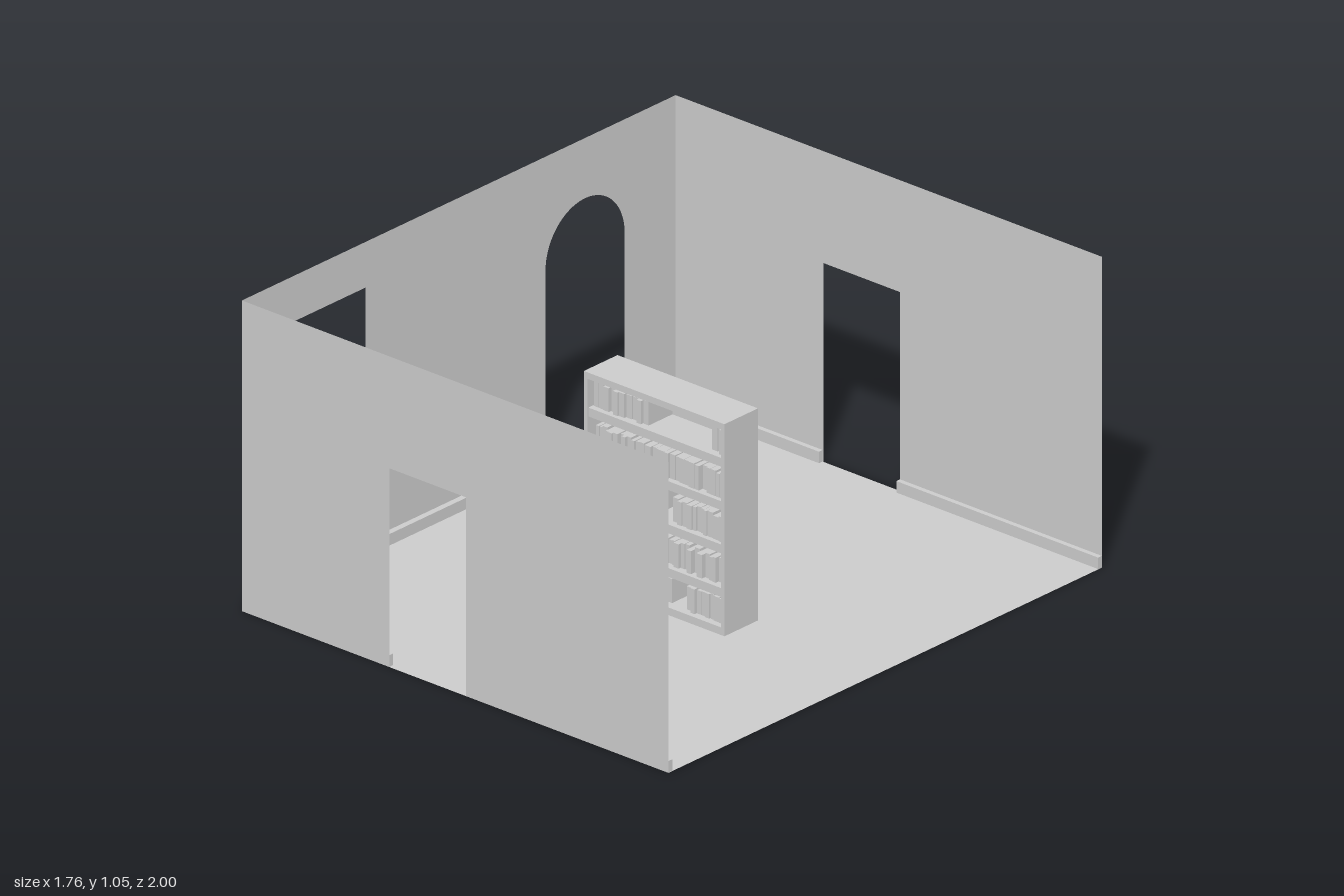
import * as THREE from 'three';

const X = 0.88, Z = 1, H = 1.055;
const grey = new THREE.MeshStandardMaterial({ color: 0xcccccc });
const thin = new THREE.MeshStandardMaterial({ color: 0xcccccc, side: THREE.DoubleSide });

// box given by its minimum and maximum corners
function box(parent, name, x0, x1, y0, y1, z0, z1) {
  const m = new THREE.Mesh(new THREE.BoxGeometry(x1 - x0, y1 - y0, z1 - z0), grey);
  m.position.set((x0 + x1) / 2, (y0 + y1) / 2, (z0 + z1) / 2);
  m.name = name;
  parent.add(m);
  return m;
}

function polygon(Type, pts) {
  return new Type(pts.map(([x, y]) => new THREE.Vector2(x, y)));
}

// front and back walls share the same doorway
function doorWall(name, z) {
  const s = polygon(THREE.Shape, [[-X, 0], [-0.27, 0], [-0.27, 0.675], [0.045, 0.675],
    [0.045, 0], [X, 0], [X, H], [-X, H]]);
  const m = new THREE.Mesh(new THREE.ShapeGeometry(s), thin);
  m.position.z = z;
  m.name = name;
  return m;
}

// side wall with an arched opening and a window; the shape's x runs along -z
function sideWall() {
  const s = new THREE.Shape();
  s.moveTo(-Z, 0);
  s.lineTo(0.4, 0);
  s.lineTo(0.4, 0.668);
  s.absarc(0.5825, 0.668, 0.1825, Math.PI, 0, true);
  s.lineTo(0.765, 0);
  s.lineTo(Z, 0);
  s.lineTo(Z, H);
  s.lineTo(-Z, H);
  s.closePath();
  s.holes.push(polygon(THREE.Path, [[-0.9, 0.535], [-0.9, 0.9], [-0.43, 0.9], [-0.43, 0.535]]));
  const m = new THREE.Mesh(new THREE.ShapeGeometry(s, 24), thin);
  m.rotation.y = Math.PI / 2;
  m.position.x = -X;
  m.name = 'archedSideWall';
  return m;
}

function bookcase() {
  const g = new THREE.Group();
  g.name = 'bookcase';
  const x0 = -0.14, x1 = 0.44, y0 = 0.065, y1 = 0.785, z0 = 0.095, z1 = 0.25, t = 0.015;
  box(g, 'caseBack', x0, x1, y0, y1, z0, z0 + t);
  box(g, 'caseSide', x0, x0 + t, y0, y1, z0, z1);
  box(g, 'caseSide', x1 - t, x1, y0, y1, z0, z1);
  box(g, 'caseTop', x0, x1, y1 - 0.022, y1, z0, z1);
  box(g, 'caseBottom', x0, x1, y0, y0 + 0.026, z0, z1);

  // shelves, each with runs of books [from, to]
  const floors = [0.091, 0.222, 0.37, 0.517, 0.664];
  const runs = [
    [[-0.12, 0.2], [0.26, 0.42]],
    [[-0.12, -0.01], [0.09, 0.42]],
    [[-0.12, 0.14], [0.2, 0.42]],
    [[-0.12, 0.42]],
    [[-0.12, 0.1], [0.36, 0.42]],
  ];
  let seed = 7;
  const rnd = () => (seed = (seed * 16807) % 2147483647) / 2147483647;
  floors.forEach((y, i) => {
    if (i) box(g, 'shelf', x0 + t, x1 - t, y - 0.03, y, z0 + t, z1 - 0.004);
    for (const [a, b] of runs[i]) {
      for (let x = a; x < b - 0.01;) {
        const w = 0.014 + rnd() * 0.012;
        box(g, 'book', x, Math.min(x + w - 0.002, b), y, y + 0.078 + rnd() * 0.009,
          z0 + t, 0.215 + rnd() * 0.02);
        x += w;
      }
    }
  });
  // leaning books
  for (const x of [0.002, 0.022]) {
    const b = box(g, 'leaningBook', x - 0.007, x + 0.007, 0.224, 0.306, 0.12, 0.225);
    b.rotation.z = 0.2;
  }
  return g;
}

export function createModel() {
  const g = new THREE.Group();
  g.name = 'room';

  const floor = new THREE.Mesh(new THREE.PlaneGeometry(2 * X, 2 * Z), thin);
  floor.rotation.x = -Math.PI / 2;
  floor.name = 'floor';
  g.add(floor, doorWall('frontWall', Z), doorWall('backWall', -Z), sideWall());

  // skirting boards along the inside of the walls
  const h = 0.04, d = 0.018, e = 0.001;
  for (const s of [-1, 1]) {
    const za = s > 0 ? Z - d : -Z + e, zb = s > 0 ? Z - e : -Z + d;
    box(g, 'skirtingBoard', -X + 0.022, -0.272, 0.001, h, za, zb);
    box(g, 'skirtingBoard', 0.047, X, 0.001, h, za, zb);
  }
  box(g, 'skirtingBoard', -X + e, -X + 0.022, 0.001, h, -0.4, Z - e);
  box(g, 'skirtingBoard', -X + e, -X + 0.022, 0.001, h, -Z + e, -0.768);

  g.add(bookcase());
  return g;
}
